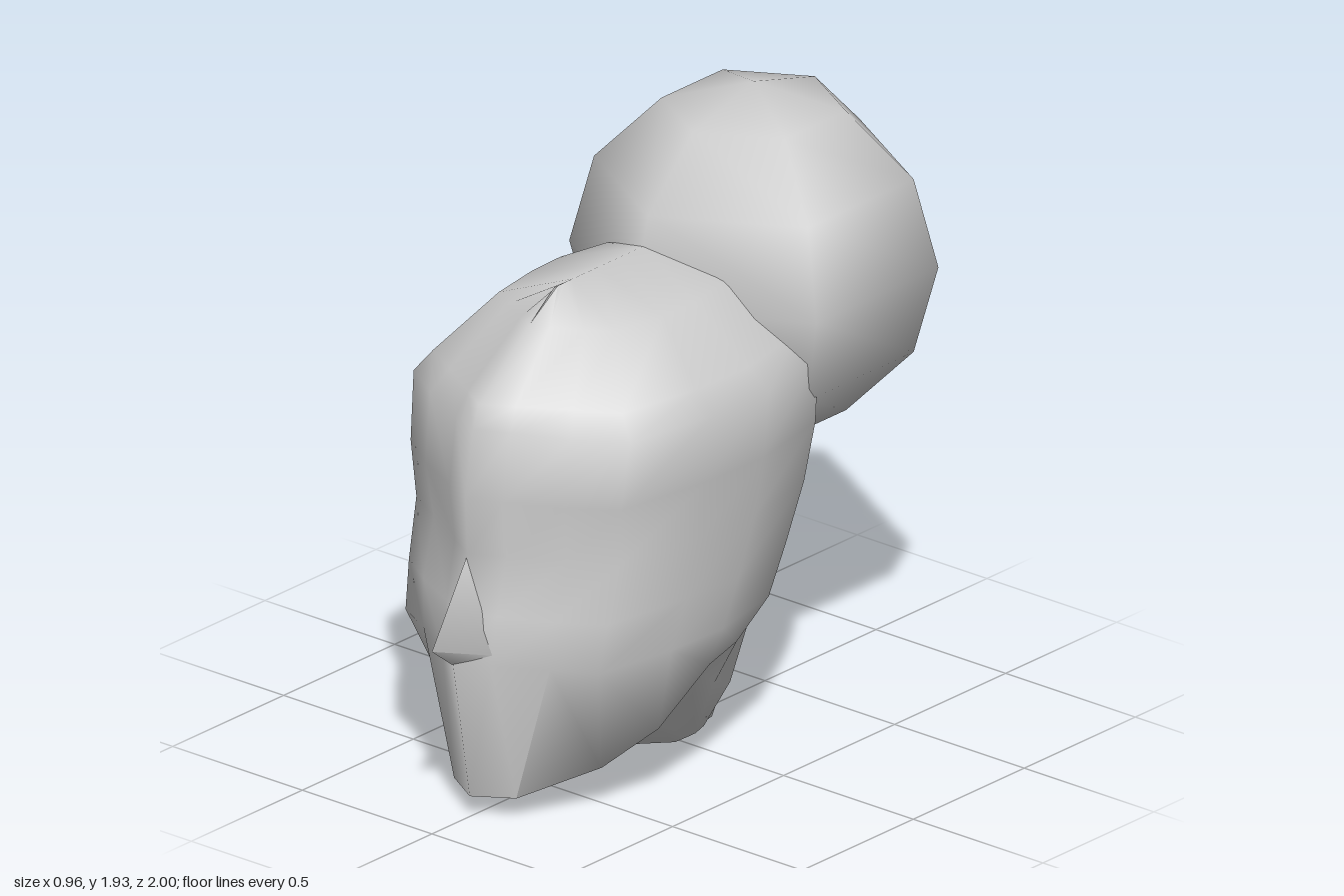
import * as THREE from 'three';
import { toCreasedNormals } from 'three/addons/utils/BufferGeometryUtils.js';

const material = new THREE.MeshStandardMaterial({ color: 0xcccccc, side: THREE.DoubleSide });

// Half outline of a level section, front to back: share of the width and of the depth
const WIDTH = [0, 0.22, 0.57, 0.87, 0.98, 1, 0.87, 0.5, 0];
const DEPTH = [0, 0.035, 0.095, 0.165, 0.4, 0.58, 0.8, 0.95, 1];
// Where the face is set back beside its centre line
const SETBACK = [0, 0.5, 1, 0.5, 0, 0, 0, 0, 0];

function section(y, halfWidth, front, back, setback = 0) {
  return WIDTH.map((w, j) => [
    w * halfWidth, y, front + (back - front) * DEPTH[j] - SETBACK[j] * setback,
  ]);
}

// Closes a half outline by mirroring it in x
function mirrored(half) {
  return [...half, ...half.slice(1, -1).reverse().map(([x, y, z]) => [-x, y, z])];
}

function loft(halves) {
  const rings = halves.map(mirrored);
  const n = rings[0].length;
  const positions = rings.flat();
  const index = [];
  for (let i = 0; i < rings.length - 1; i++) {
    for (let j = 0; j < n; j++) {
      const k = (j + 1) % n;
      const a = i * n + j, b = i * n + k, c = b + n, d = a + n;
      // Diagonals run symmetrically on both sides
      if (j < n / 2) index.push(a, b, c, a, c, d);
      else index.push(a, b, d, b, c, d);
    }
  }
  // Cap over the lowest ring
  positions.push([0, 0.035, -0.04]);
  for (let j = 0; j < n; j++) index.push(positions.length - 1, (j + 1) % n, j);
  const g = new THREE.BufferGeometry();
  g.setAttribute('position', new THREE.Float32BufferAttribute(positions.flat(), 3));
  g.setIndex(index);
  return toCreasedNormals(g, 1.2);
}

function createHead() {
  const neckEnd = [
    [0, 0.03, 0.1], [0.08, 0.03, 0.1], [0.15, 0.035, 0.08], [0.16, 0.04, 0.04], [0.16, 0.04, 0],
    [0.15, 0.045, -0.05], [0.12, 0.04, -0.1], [0.07, 0.01, -0.18], [0, 0, -0.2],
  ];
  const underJaw = [
    [0, 0.09, 0.42], [0.06, 0.09, 0.41], [0.12, 0.11, 0.37], [0.18, 0.2, 0.28], [0.28, 0.34, 0.16],
    [0.26, 0.24, 0.03], [0.2, 0.18, -0.11], [0.11, 0.18, -0.21], [0, 0.18, -0.25],
  ];
  const jawLine = [
    [0, 0.065, 0.83], [0.12, 0.068, 0.76], [0.27, 0.14, 0.55], [0.36, 0.24, 0.4], [0.42, 0.41, 0.24],
    [0.37, 0.41, 0.06], [0.26, 0.38, -0.12], [0.13, 0.36, -0.24], [0, 0.36, -0.29],
  ];
  return loft([
    neckEnd, underJaw, jawLine,
    section(0.51, 0.428, 0.905, -0.33, 0.035),
    section(0.66, 0.44, 0.865, -0.4),
    section(0.84, 0.453, 0.84, -0.48, 0.025),
    section(1.02, 0.466, 0.85, -0.53),
    section(1.23, 0.48, 0.815, -0.52),
    section(1.3, 0.42, 0.79, -0.46, 0.03),
    section(1.48, 0.26, 0.56, -0.2),
    section(1.563, 0, 0.45, -0.05),
  ]);
}

// Wedge nose with a ridge, a tip and two nostril wings
function createNose() {
  const bridge = [0, 0.83, 0.845], tip = [0, 0.58, 1], base = [0, 0.51, 0.91];
  const left = [0.1, 0.54, 0.83], right = [-0.1, 0.54, 0.83];
  const faces = [bridge, tip, left, bridge, right, tip, tip, base, left, tip, right, base];
  const g = new THREE.BufferGeometry();
  g.setAttribute('position', new THREE.Float32BufferAttribute(faces.flat(), 3));
  return toCreasedNormals(g, 1.3);
}

export function createModel() {
  const model = new THREE.Group();
  model.name = 'headWithBun';
  const add = (name, geometry) => {
    const mesh = new THREE.Mesh(geometry, material);
    mesh.name = name;
    model.add(mesh);
    return mesh;
  };
  add('head', createHead());
  add('nose', createNose());
  // Six-sided ball of hair with corners pointing front and back
  const bun = add('hairBun', new THREE.SphereGeometry(0.55, 6, 6));
  bun.rotation.y = Math.PI / 2;
  bun.position.set(0, 1.377, -0.45);
  return model;
}
